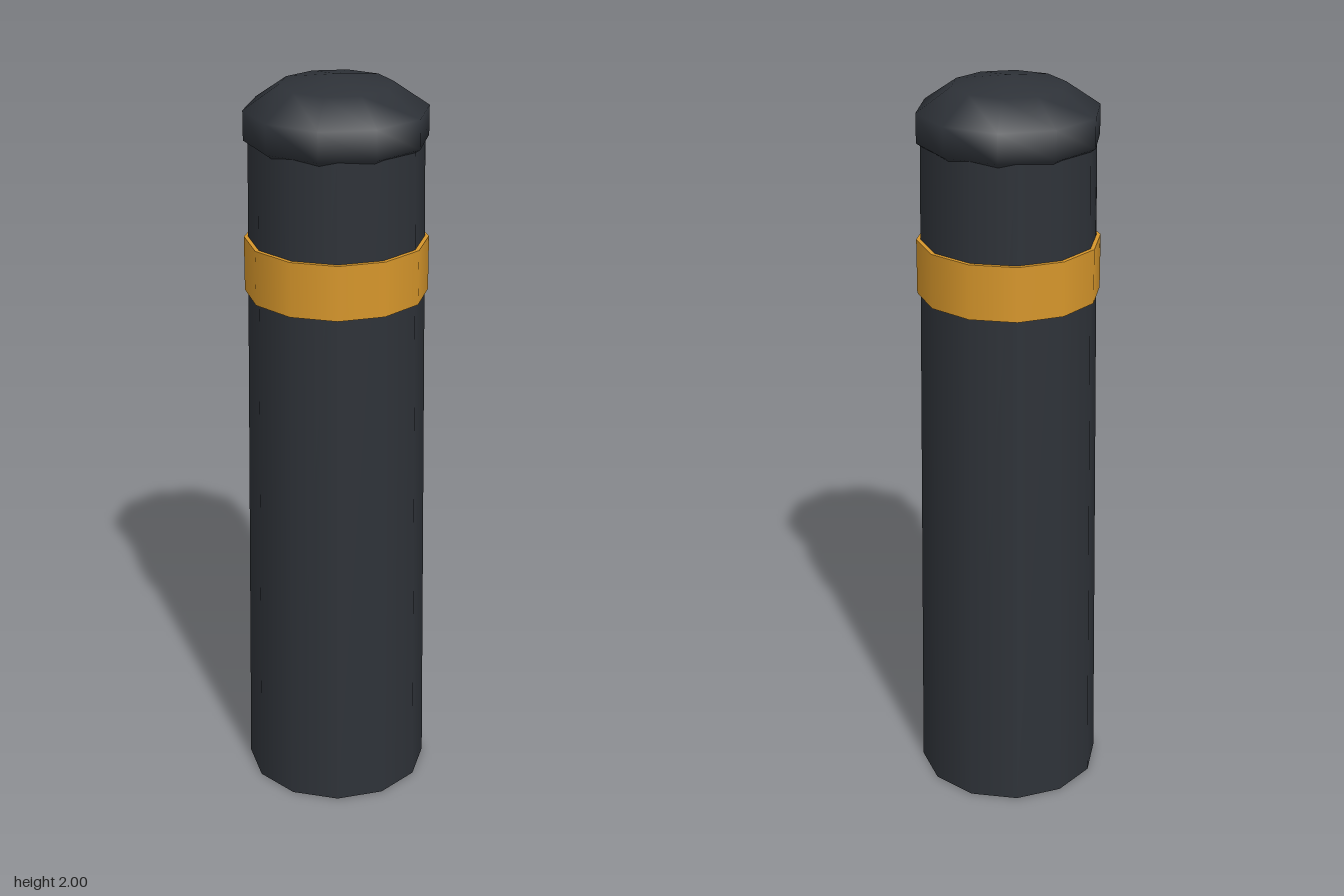
import * as THREE from 'three';

export function createModel() {
  const model = new THREE.Group();
  model.name = 'bollard';
  const dark = new THREE.MeshStandardMaterial({ color: 0x2e3238 });
  const amber = new THREE.MeshStandardMaterial({ color: 0xd6962b });

  const add = (name, geometry, material, y) => {
    const mesh = new THREE.Mesh(geometry, material);
    mesh.name = name;
    mesh.position.y = y;
    model.add(mesh);
    return mesh;
  };

  // Slightly tapered twelve-sided post
  const postHeight = 1.875;
  add('post', new THREE.CylinderGeometry(0.225, 0.25, postHeight, 12), dark, postHeight / 2);

  // Coloured band standing just proud of the post
  add('band', new THREE.CylinderGeometry(0.24, 0.24, 0.146, 12), amber, 1.502);

  // Flattened ten-sided dome, its lower half sunk into the post
  add('cap', new THREE.SphereGeometry(0.25, 10, 5), dark, postHeight).scale.y = 0.5;

  return model;
}
